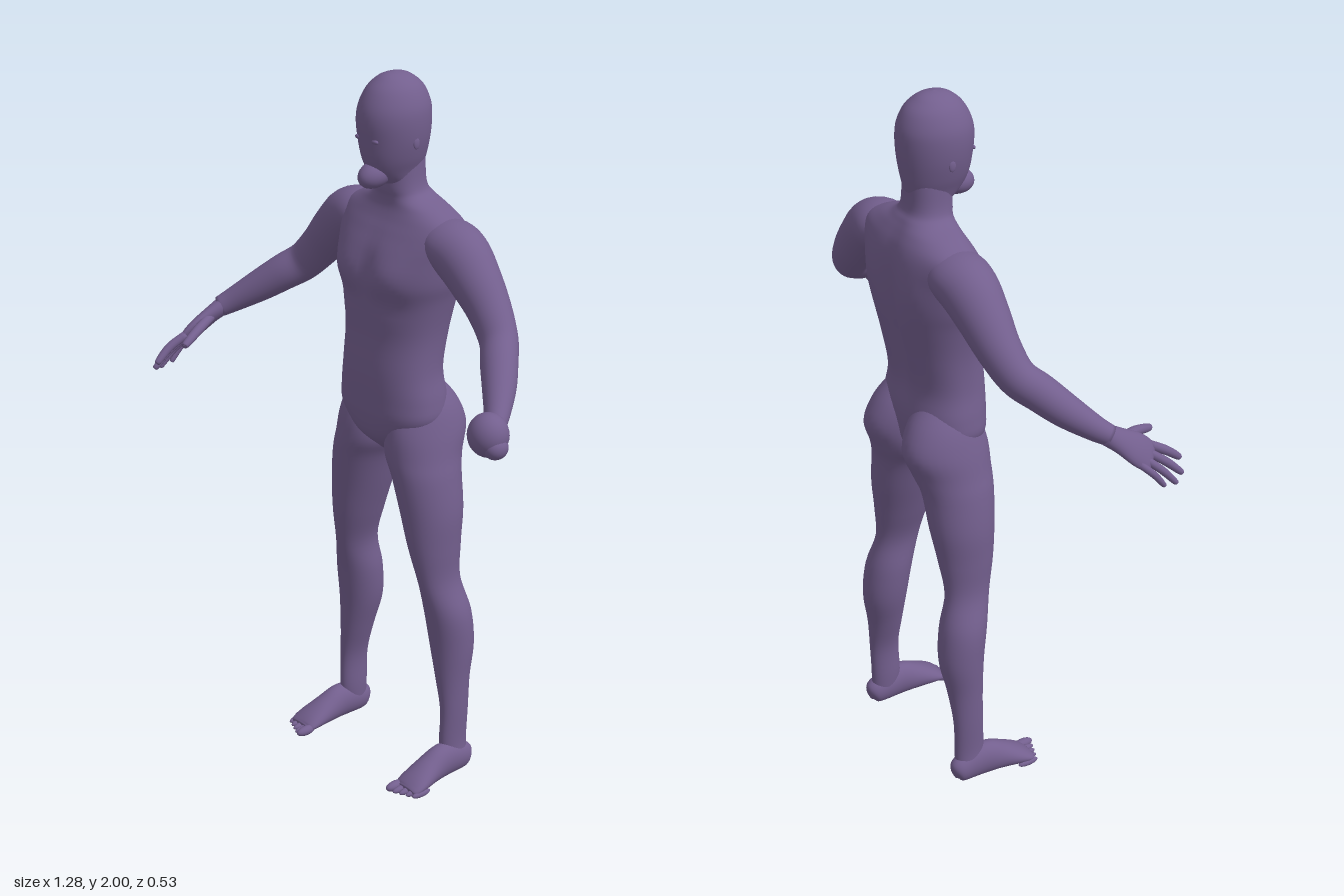
import * as THREE from 'three';

const skin = new THREE.MeshStandardMaterial({ color: 0x735f8e });
skin.name = 'muted violet';

const X = new THREE.Vector3(1, 0, 0), Y = new THREE.Vector3(0, 1, 0), Z = new THREE.Vector3(0, 0, 1);

// Smooth closed loft through rows of [x, y, z, radiusA, radiusB].
// ref gives the direction of radiusA; flat keeps the sections horizontal.
function loft(name, rows, { ref = Z, flat = false, sides = 32, steps = 5, power = 2, shape } = {}) {
  const path = new THREE.CatmullRomCurve3(rows.map(r => new THREE.Vector3(r[0], r[1], r[2])), false, 'catmullrom');
  const size = new THREE.CatmullRomCurve3(rows.map(r => new THREE.Vector3(r[3], r[4], 0)), false, 'catmullrom');
  const rings = (rows.length - 1) * steps, pos = [], idx = [];
  for (let i = 0; i <= rings; i++) {
    const c = path.getPoint(i / rings), r = size.getPoint(i / rings);
    let t = path.getTangent(i / rings);
    if (flat) t = Y.clone().multiplyScalar(Math.sign(t.y));
    const a = (flat ? X : ref).clone();
    a.addScaledVector(t, -a.dot(t)).normalize();
    const b = t.clone().cross(a);
    for (let j = 0; j < sides; j++) {
      const q = j / sides * Math.PI * 2, co = Math.cos(q), si = Math.sin(q);
      const bend = v => Math.sign(v) * Math.abs(v) ** (2 / power);
      const p = c.clone().addScaledVector(a, bend(co) * r.x).addScaledVector(b, bend(si) * r.y);
      if (shape) shape(p, c);
      pos.push(p.x, p.y, p.z);
    }
  }
  for (let i = 0; i < rings; i++) {
    for (let j = 0; j < sides; j++) {
      const k = (j + 1) % sides, a = i * sides, b = a + sides;
      idx.push(a + j, a + k, b + k, a + j, b + k, b + j);
    }
  }
  // End caps
  const first = path.getPoint(0), last = path.getPoint(1), n = pos.length / 3, e = rings * sides;
  pos.push(first.x, first.y, first.z, last.x, last.y, last.z);
  for (let j = 0; j < sides; j++) {
    const k = (j + 1) % sides;
    idx.push(n, k, j, n + 1, e + j, e + k);
  }
  const g = new THREE.BufferGeometry();
  g.setAttribute('position', new THREE.Float32BufferAttribute(pos, 3));
  g.setIndex(idx);
  g.computeVertexNormals();
  const m = new THREE.Mesh(g, skin);
  m.name = name;
  return m;
}

function blob(name, x, y, z, rx, ry, rz, tilt = 0) {
  const m = new THREE.Mesh(new THREE.SphereGeometry(1, 24, 16), skin);
  m.name = name;
  m.position.set(x, y, z);
  m.scale.set(rx, ry, rz);
  m.rotation.x = tilt;
  return m;
}

// Turns [y, halfWidth, frontZ, backZ] into a loft row
const slice = ([y, w, f, b]) => [0, y, (f + b) / 2, w, (f - b) / 2];
const bump = (v, mid, width) => Math.exp(-(((v - mid) / width) ** 2));

// Spine groove, chest muscles and shoulder blades
function muscles(p, c) {
  const ax = Math.abs(p.x);
  if (p.z < c.z) {
    p.z += 0.022 * bump(ax, 0, 0.03) * bump(p.y, 1.38, 0.2);
    p.z -= 0.008 * bump(ax, 0.1, 0.05) * bump(p.y, 1.5, 0.07);
  } else {
    p.z += 0.012 * bump(ax, 0.085, 0.06) * bump(p.y, 1.48, 0.05);
    p.z -= 0.008 * bump(ax, 0, 0.025) * bump(p.y, 1.47, 0.09);
    p.z -= 0.006 * bump(p.y, 1.39, 0.03) * bump(ax, 0.08, 0.07);
  }
}

export function createModel() {
  const model = new THREE.Group();
  model.name = 'figure';

  // Torso and neck
  model.add(loft('torso', [
    [0.95, 0.02, -0.07, -0.15], [1.0, 0.11, -0.02, -0.2], [1.06, 0.165, -0.003, -0.215],
    [1.12, 0.167, 0, -0.22], [1.2, 0.155, 0, -0.212], [1.3, 0.157, -0.007, -0.23],
    [1.4, 0.175, 0, -0.25], [1.46, 0.192, 0.002, -0.255], [1.53, 0.202, -0.015, -0.255],
    [1.58, 0.212, -0.04, -0.25], [1.615, 0.2, -0.06, -0.24], [1.645, 0.145, -0.072, -0.225],
    [1.67, 0.088, -0.073, -0.21], [1.7, 0.068, -0.068, -0.194], [1.78, 0.062, -0.07, -0.19],
  ].map(slice), { flat: true, sides: 64, power: 2.25, shape: muscles }));

  // Head with jutting chin
  model.add(loft('head', [
    [1.7, 0.05, -0.075, -0.175], [1.74, 0.06, -0.03, -0.19], [1.78, 0.075, -0.012, -0.2],
    [1.83, 0.087, -0.004, -0.207], [1.88, 0.091, 0, -0.21], [1.92, 0.086, -0.007, -0.206],
    [1.96, 0.068, -0.028, -0.188], [1.985, 0.044, -0.055, -0.16], [1.996, 0.022, -0.078, -0.137],
    [2.0, 0.002, -0.105, -0.109],
  ].map(slice), { flat: true, sides: 40 }));
  model.add(blob('chin', 0, 1.737, -0.042, 0.037, 0.036, 0.054, 0.25));

  for (const s of [1, -1]) {
    const side = s > 0 ? 'left' : 'right';
    const mirror = rows => rows.map(([x, ...rest]) => [x * s, ...rest]);

    model.add(blob(side + 'Ear', s * 0.086, 1.825, -0.108, 0.004, 0.016, 0.01));
    model.add(blob(side + 'Eye', s * 0.032, 1.835, -0.012, 0.013, 0.006, 0.006));

    // Leg, from buttock to ankle
    model.add(loft(side + 'Leg', mirror([
      [0.075, 1.17, -0.125, 0.05, 0.06], [0.085, 1.1, -0.14, 0.08, 0.1], [0.095, 1.03, -0.142, 0.092, 0.122],
      [0.103, 0.96, -0.128, 0.097, 0.112], [0.124, 0.9, -0.121, 0.089, 0.101], [0.145, 0.8, -0.122, 0.08, 0.092],
      [0.16, 0.7, -0.12, 0.063, 0.08], [0.175, 0.6, -0.125, 0.048, 0.066], [0.188, 0.5, -0.147, 0.063, 0.067],
      [0.195, 0.4, -0.158, 0.06, 0.064], [0.206, 0.3, -0.153, 0.044, 0.052], [0.218, 0.2, -0.15, 0.03, 0.045],
      [0.217, 0.1, -0.147, 0.028, 0.045], [0.222, 0.04, -0.15, 0.03, 0.042],
    ]), { flat: true }));

    // Foot and toes
    model.add(loft(side + 'Foot', mirror([
      [0.222, 0.035, -0.202, 0.012, 0.018], [0.222, 0.04, -0.187, 0.028, 0.037], [0.222, 0.047, -0.15, 0.033, 0.046],
      [0.224, 0.052, -0.1, 0.036, 0.051], [0.226, 0.042, -0.05, 0.041, 0.041], [0.23, 0.029, 0, 0.047, 0.027],
      [0.232, 0.02, 0.03, 0.046, 0.016], [0.232, 0.017, 0.042, 0.036, 0.009],
    ]), { ref: X }));
    for (let i = 0; i < 5; i++) {
      const r = i ? 0.01 : 0.014;
      model.add(blob(side + 'Toe', s * (0.198 + 0.0185 * i), r + 0.002, 0.05 - 0.008 * i, r, r, 0.032));
    }

    // Arm, from shoulder to wrist
    model.add(loft(side + 'Arm', mirror([
      [0.09, 1.575, -0.15, 0.05, 0.04], [0.16, 1.568, -0.15, 0.08, 0.066], [0.22, 1.545, -0.148, 0.078, 0.077],
      [0.28, 1.493, -0.145, 0.069, 0.07], [0.34, 1.43, -0.14, 0.058, 0.06], [0.395, 1.37, -0.122, 0.05, 0.054],
      [0.44, 1.333, -0.083, 0.049, 0.051], [0.49, 1.29, -0.038, 0.044, 0.045], [0.54, 1.247, 0.015, 0.033, 0.035],
      [0.565, 1.225, 0.048, 0.027, 0.029],
    ])));
  }

  // Left hand: closed rounded fist
  model.add(blob('leftFist', 0.573, 1.22, 0.075, 0.055, 0.058, 0.053));
  model.add(blob('leftKnuckles', 0.604, 1.196, 0.078, 0.031, 0.031, 0.034));

  // Right hand: open palm, four fingers and thumb
  const across = new THREE.Vector3(-0.04, -0.03, -0.075).normalize();
  model.add(loft('rightPalm', [
    [-0.56, 1.23, 0.038, 0.028, 0.026], [-0.573, 1.205, 0.075, 0.035, 0.022], [-0.585, 1.175, 0.115, 0.045, 0.019],
    [-0.593, 1.15, 0.145, 0.044, 0.015], [-0.597, 1.14, 0.158, 0.034, 0.009],
  ], { ref: across, sides: 24 }));
  const digit = (name, a, b, c, r) => model.add(loft(name,
    [[...a, r, r], [...b, r, r], [...c.map((v, i) => v + (b[i] - v) * 0.12), r * 0.75, r * 0.75], [...c, r * 0.2, r * 0.2]],
    { ref: across, sides: 12 }));
  const tips = [[-0.585, 1.1, 0.26], [-0.614, 1.072, 0.247], [-0.633, 1.062, 0.215], [-0.634, 1.068, 0.175]];
  tips.forEach((tip, i) => {
    const k = i / 3, base = [-0.575 - 0.036 * k, 1.165 - 0.023 * k, 0.165 - 0.055 * k];
    const mid = base.map((v, n) => (v + tip[n]) / 2);
    mid[0] -= 0.006;
    mid[1] += 0.005;
    digit('rightFinger', base, mid, tip, 0.0125 - 0.001 * i);
  });
  digit('rightThumb', [-0.562, 1.205, 0.085], [-0.532, 1.188, 0.155], [-0.507, 1.165, 0.22], 0.014);

  return model;
}
